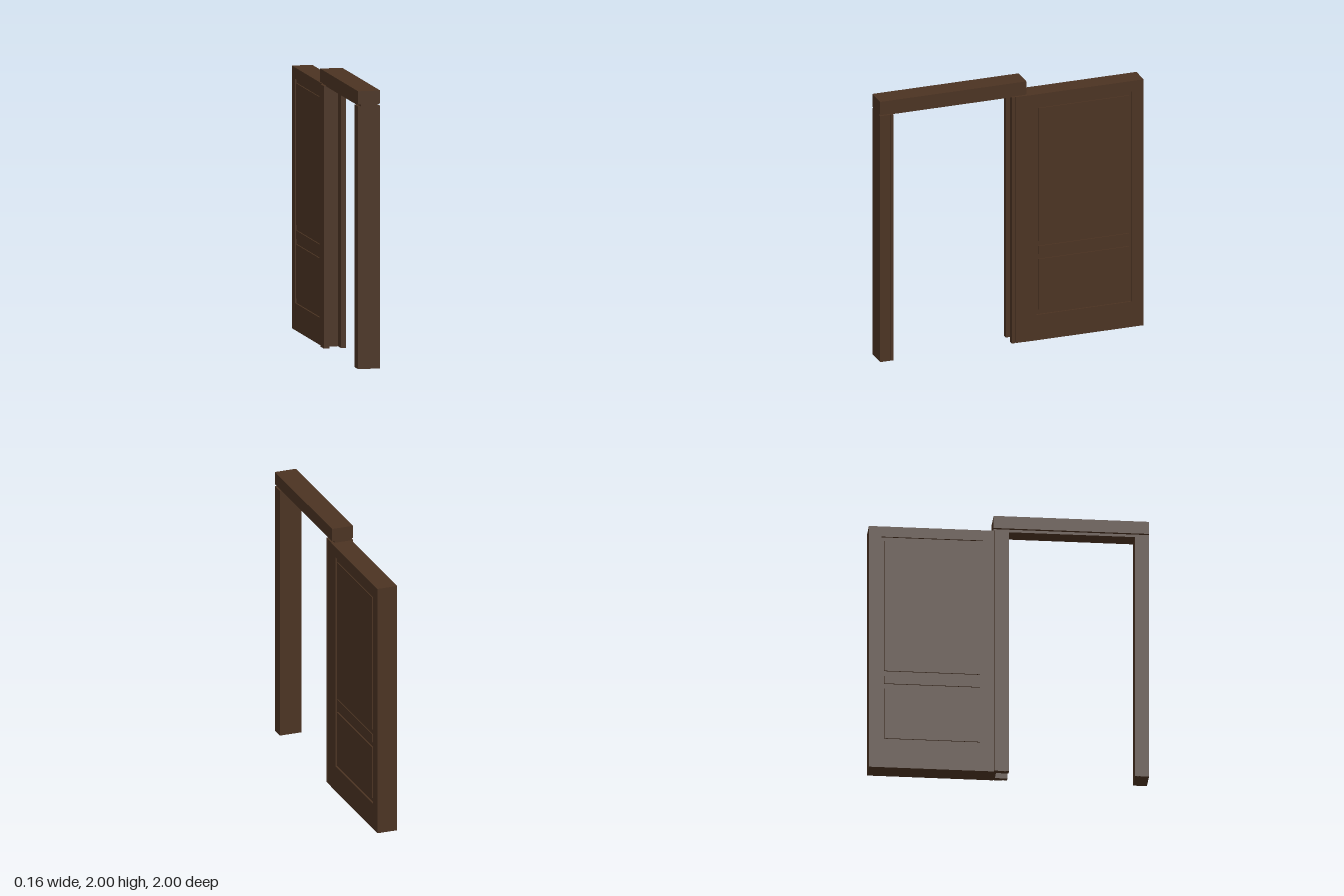
import * as THREE from 'three';

export function createModel() {
  const wood = new THREE.MeshStandardMaterial({ color: 0x4b3322 });
  wood.name = 'dark wood';
  const model = new THREE.Group();
  model.name = 'slidingDoorFrame';

  // Box given by its limits on each axis
  function box(parent, name, [x0, x1], [y0, y1], [z0, z1]) {
    const mesh = new THREE.Mesh(new THREE.BoxGeometry(x1 - x0, y1 - y0, z1 - z0), wood);
    mesh.position.set((x0 + x1) / 2, (y0 + y1) / 2, (z0 + z1) / 2);
    mesh.name = name;
    parent.add(mesh);
  }
  function group(name) {
    const g = new THREE.Group();
    g.name = name;
    model.add(g);
    return g;
  }

  const wide = [-0.085, 0.077], doorTop = 1.89;

  // Free-standing post with a fine groove beside its inner strip
  const post = group('post');
  box(post, 'postBody', wide, [0, doorTop], [0.925, 1]);
  box(post, 'postCore', [-0.077, 0.069], [0, doorTop], [0.919, 0.925]);
  box(post, 'postStrip', wide, [0, doorTop], [0.9, 0.919]);

  // Lintel on a narrower rail
  const lintel = group('lintel');
  box(lintel, 'lintelBeam', wide, [1.905, 2], [-0.11, 1]);
  box(lintel, 'lintelRail', [-0.065, 0.058], [1.885, 1.905], [-0.11, 1]);

  // Pocket jamb: two cheeks with an open channel between them
  const jamb = group('pocketJamb');
  for (const [side, outer, inner] of [['left', 0.077, 0.04], ['right', -0.085, -0.045]]) {
    const span = [Math.min(outer, inner), Math.max(outer, inner)];
    const inset = [Math.min(outer * 0.9, inner), Math.max(outer * 0.9, inner)];
    box(jamb, side + 'JambStrip', span, [0, doorTop], [-0.025, 0]);
    box(jamb, side + 'JambCore', inset, [0, doorTop], [-0.031, -0.025]);
    box(jamb, side + 'JambCheek', span, [0, doorTop], [-0.105, -0.031]);
  }
  box(jamb, 'channelBack', [-0.045, 0.04], [0, doorTop], [-0.105, -0.09]);

  // Panelled slab: core, a frame on each side and raised fields
  const slab = group('panelSlab');
  const x0 = -0.07, x1 = 0.08, depth = 0.012;
  box(slab, 'slabCore', [x0 + depth, x1 - depth], [0, doorTop], [-1, -0.1]);

  // Frame outline is drawn with shape x along -z
  const outline = new THREE.Shape();
  outline.moveTo(0.1, 0).lineTo(1, 0).lineTo(1, doorTop).lineTo(0.1, doorTop).closePath();
  const opening = new THREE.Path();
  opening.moveTo(0.185, 0.195).lineTo(0.185, 1.81).lineTo(0.91, 1.81).lineTo(0.91, 0.195).closePath();
  outline.holes.push(opening);
  const frameGeometry = new THREE.ExtrudeGeometry(outline, { depth, bevelEnabled: false });
  frameGeometry.rotateY(Math.PI / 2);

  for (const [side, start] of [['left', x1 - depth], ['right', x0]]) {
    const frame = new THREE.Mesh(frameGeometry, wood);
    frame.name = side + 'PanelFrame';
    frame.position.x = start;
    slab.add(frame);
    const face = side === 'left' ? [start, x1 - 0.003] : [x0 + 0.003, x0 + depth];
    [['upperField', 0.76, 1.78], ['middleField', 0.66, 0.72], ['lowerField', 0.23, 0.62]]
      .forEach(([name, y0, y1]) => box(slab, side + ' ' + name, face, [y0, y1], [-0.89, -0.205]));
  }
  return model;
}
